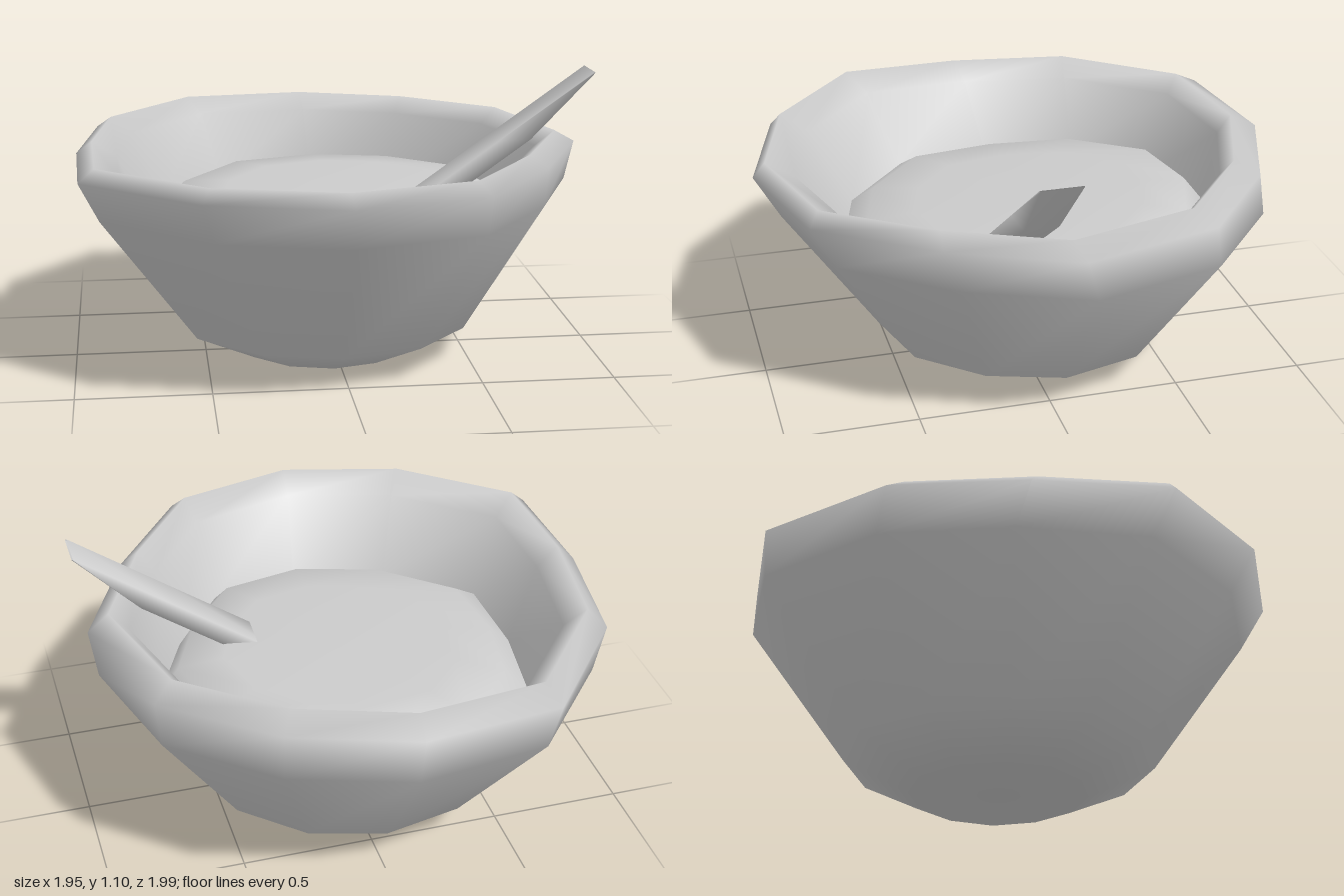
import * as THREE from 'three';

// Uneven twelve-sided rim outline as [x, z], clockwise seen from above
const OUTLINE = [
  [-0.03, -0.99], [0.42, -0.83], [0.8, -0.52], [0.945, 0], [0.74, 0.45], [0.45, 0.86],
  [-0.04, 0.995], [-0.54, 0.86], [-0.96, 0.5], [-0.975, 0], [-0.9, -0.5], [-0.55, -0.93],
];

// One ring: the outline scaled and shifted, eased toward a regular polygon by
// `even`, and raised toward the back left by `tilt`
function ring(y, scale, cx, cz, even = 0, tilt = 0) {
  return OUTLINE.map(([x, z], i) => {
    const a = (i / OUTLINE.length) * Math.PI * 2;
    const px = THREE.MathUtils.lerp(x, Math.sin(a), even) * scale;
    const pz = THREE.MathUtils.lerp(z, -Math.cos(a), even) * scale;
    return [cx + px, y + (px - pz) * tilt, cz + pz];
  });
}

// Smooth skin between successive closed rings
function loft(name, rings) {
  const n = rings[0].length;
  const index = [];
  for (let r = 0; r < rings.length - 1; r++) {
    for (let k = 0; k < n; k++) {
      const a = r * n + k, b = r * n + ((k + 1) % n);
      index.push(a, a + n, b, b, a + n, b + n);
    }
  }
  const geo = new THREE.BufferGeometry();
  geo.setAttribute('position', new THREE.Float32BufferAttribute(rings.flat(2), 3));
  geo.setIndex(index);
  geo.computeVertexNormals();
  const mat = new THREE.MeshStandardMaterial({ color: 0xcccccc, side: THREE.DoubleSide });
  const mesh = new THREE.Mesh(geo, mat);
  mesh.name = name;
  return mesh;
}

export function createModel() {
  const model = new THREE.Group();
  model.name = 'bowlWithUtensil';

  // Bowl: underside, flared wall, thick rim, then the inside down to the filling
  model.add(loft('bowl', [
    ring(0, 0, -0.025, -0.05),
    ring(0, 0.33, -0.025, -0.05, 0.8),
    ring(0.13, 0.59, -0.015, -0.045, 0.7),
    ring(0.64, 0.955, 0.01, -0.05, 0.2),
    ring(0.8, 1, 0, 0),
    ring(0.85, 0.925, -0.014, 0.027),
    ring(0.785, 0.84, -0.005, 0),
    ring(0.5, 0.73, 0.015, -0.055),
  ]));

  // Domed filling, slightly higher toward the back left
  model.add(loft('filling', [
    ring(0.5, 0.735, 0.015, -0.055),
    ring(0.6, 0.64, 0.015, -0.055, 0.2, 0.03),
    ring(0.62, 0.45, 0.015, -0.055, 0.4, 0.03),
    ring(0.62, 0, 0.015, -0.055),
  ]));

  // Utensil handle: slanted bar of even depth, thinning to an edge at the tip
  const section = (xTop, yTop, xKeel, yKeel, inset) => [
    [xTop, yTop, 0.025], [xKeel, yKeel, 0.025 + inset],
    [xKeel, yKeel, 0.18 - inset], [xTop, yTop, 0.18],
  ];
  model.add(loft('utensilHandle', [
    section(0.15, 0.52, 0.28, 0.52, 0.02),
    section(0.61, 0.845, 0.735, 0.845, 0.015),
    section(0.97, 1.1, 0.975, 1.098, 0.003),
  ]));

  return model;
}
